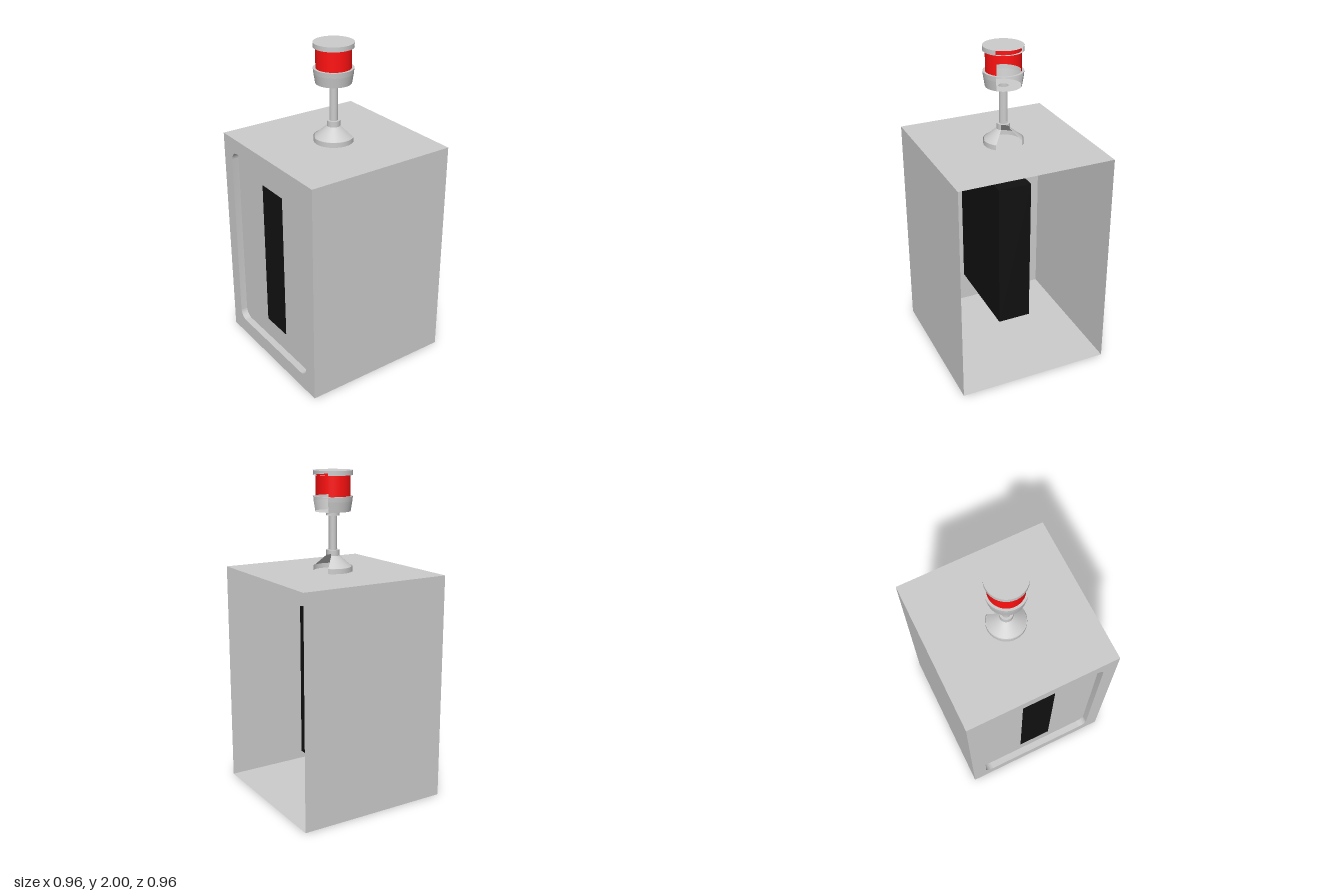
import * as THREE from 'three';
import { toCreasedNormals } from 'three/addons/utils/BufferGeometryUtils.js';

const makeMaterial = (color) => new THREE.MeshStandardMaterial({ color, side: THREE.DoubleSide });
const HALF = 0.48, HEIGHT = 1.4, RECESS = 0.043;

export function createModel() {
  const model = new THREE.Group();
  const grey = makeMaterial(0xcccccc);
  const red = makeMaterial(0xff1111);
  const black = makeMaterial(0x111111);

  const add = (parent, name, geometry, material = grey) => {
    const mesh = new THREE.Mesh(geometry, material);
    mesh.name = name;
    parent.add(mesh);
    return mesh;
  };

  // Cabinet shell, open on the +x side
  const cabinet = new THREE.Group();
  cabinet.name = 'cabinet';
  model.add(cabinet);
  const wall = () => new THREE.PlaneGeometry(2 * HALF, HEIGHT);
  const slab = () => new THREE.PlaneGeometry(2 * HALF, 2 * HALF);
  add(cabinet, 'frontWall', wall().translate(0, HEIGHT / 2, HALF));
  add(cabinet, 'backWall', wall().rotateY(Math.PI).translate(0, HEIGHT / 2, -HALF));
  add(cabinet, 'roof', slab().rotateX(-Math.PI / 2).translate(0, HEIGHT, 0));
  add(cabinet, 'floor', slab().rotateX(Math.PI / 2));

  // Rounded outline of the recess in the -x wall, drawn in the (z, y) plane
  const outline = (path) => {
    const w = 0.39, y0 = 0.1, y1 = 1.31, r = 0.06;
    path.absarc(w - r, y0 + r, r, -Math.PI / 2, 0);
    path.absarc(w - r, y1 - r, r, 0, Math.PI / 2);
    path.absarc(-w + r, y1 - r, r, Math.PI / 2, Math.PI);
    path.absarc(-w + r, y0 + r, r, Math.PI, Math.PI * 1.5);
    path.closePath();
    return path;
  };
  const faceLeft = (shape, x) =>
    new THREE.ShapeGeometry(shape, 8).rotateY(-Math.PI / 2).translate(x, 0, 0);

  const frame = new THREE.Shape([
    new THREE.Vector2(-HALF, 0), new THREE.Vector2(HALF, 0),
    new THREE.Vector2(HALF, HEIGHT), new THREE.Vector2(-HALF, HEIGHT),
  ]);
  frame.holes.push(outline(new THREE.Path()));
  add(cabinet, 'panelFrame', faceLeft(frame, -HALF));
  add(cabinet, 'recessedPanel', faceLeft(outline(new THREE.Shape()), -HALF + RECESS));

  // Short walls joining the frame to the recessed panel
  const rim = outline(new THREE.Path()).getPoints(8);
  const positions = [], index = [];
  rim.forEach((p, i) => {
    positions.push(-HALF, p.y, p.x, -HALF + RECESS, p.y, p.x);
    const a = 2 * i, b = 2 * ((i + 1) % rim.length);
    index.push(a, b, a + 1, b, b + 1, a + 1);
  });
  const recess = new THREE.BufferGeometry();
  recess.setAttribute('position', new THREE.Float32BufferAttribute(positions, 3));
  recess.setIndex(index);
  add(cabinet, 'recessWalls', toCreasedNormals(recess, 0.6));

  // Dark core running from the panel into the cabinet
  const coreLeft = -HALF + RECESS - 0.003, coreRight = 0.17;
  add(cabinet, 'darkCore', new THREE.BoxGeometry(coreRight - coreLeft, 0.95, 0.21)
    .translate((coreLeft + coreRight) / 2, 0.705, 0), black);

  // Beacon: round skins with the quarter facing +x left open
  const beacon = new THREE.Group();
  beacon.name = 'beacon';
  model.add(beacon);
  const skin = (name, rBottom, yBottom, rTop, yTop, material) =>
    add(beacon, name, new THREE.CylinderGeometry(rTop, rBottom, yTop - yBottom, 36, 1, true,
      Math.PI * 0.75, Math.PI * 1.5).translate(0, (yBottom + yTop) / 2, 0), material);
  const ring = (name, rInner, rOuter, y, up = 1) =>
    add(beacon, name, new THREE.RingGeometry(rInner, rOuter, 48)
      .rotateX(-up * Math.PI / 2).translate(0, y, 0));

  skin('baseRim', 0.12, 1.4, 0.12, 1.43);
  skin('baseCone', 0.115, 1.43, 0.04, 1.495);
  skin('lowerCollar', 0.04, 1.495, 0.04, 1.53);
  ring('lowerCollarTop', 0.025, 0.04, 1.53);
  skin('pole', 0.025, 1.53, 0.025, 1.735);
  ring('upperCollarBottom', 0.025, 0.04, 1.735, -1);
  skin('upperCollar', 0.04, 1.735, 0.04, 1.76);
  ring('housingFloor', 0.03, 0.107, 1.76, -1);
  skin('housing', 0.107, 1.76, 0.117, 1.82);
  skin('housingLip', 0.117, 1.82, 0.12, 1.85);
  ring('housingLedge', 0.105, 0.12, 1.85);
  skin('lens', 0.105, 1.85, 0.105, 1.972, red);
  ring('capLedge', 0.105, 0.12, 1.972, -1);
  skin('capRim', 0.12, 1.972, 0.12, 2);
  add(beacon, 'capTop', new THREE.CircleGeometry(0.12, 48).rotateX(-Math.PI / 2).translate(0, 2, 0));

  return model;
}
